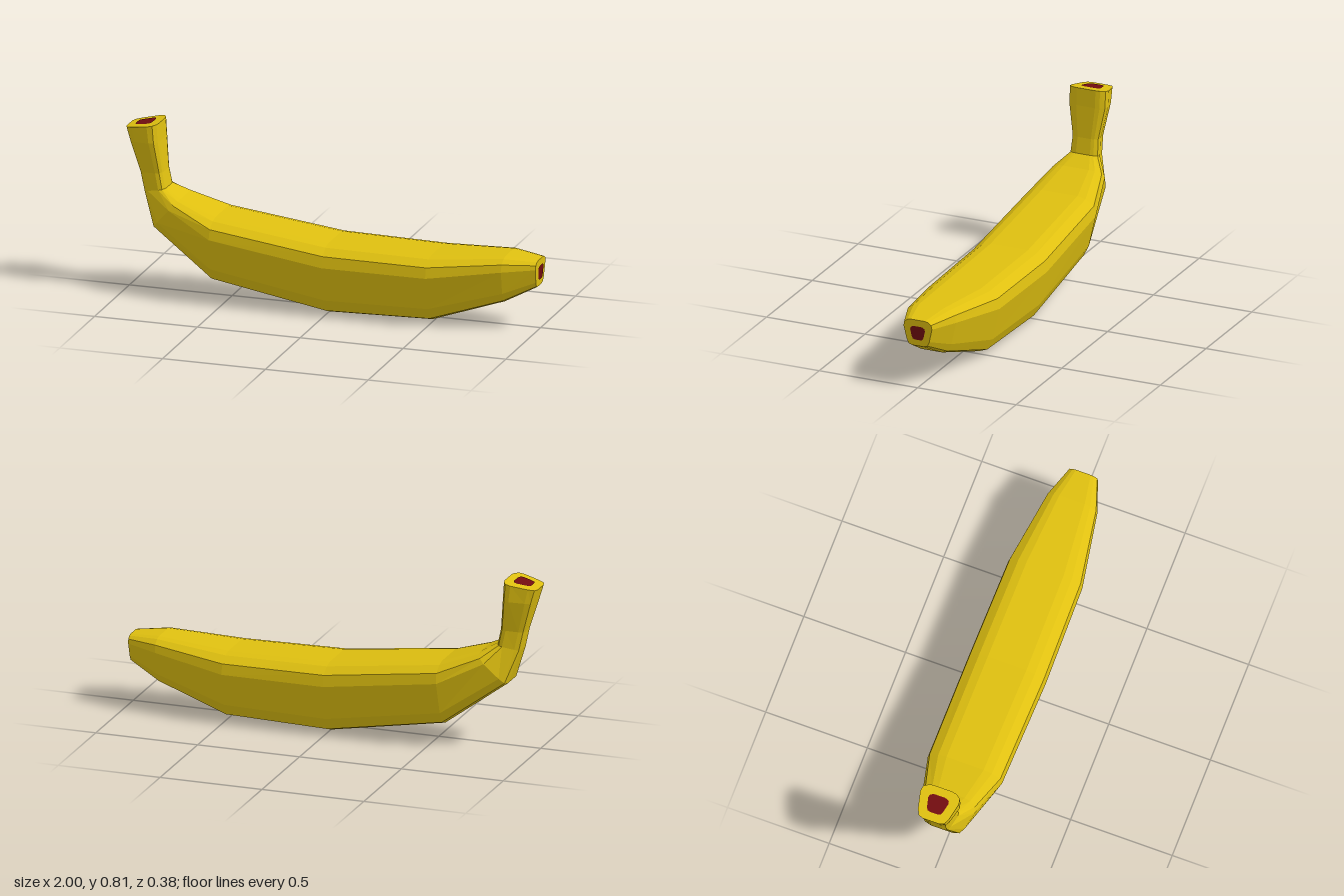
import * as THREE from 'three';

// Half cross-section, top to bottom: [share of half width, share of the way from top to bottom]
const PROFILE = [[0.5, 0], [0.72, 0.03], [0.95, 0.12], [1, 0.28], [0.8, 0.78], [0.66, 0.95], [0.42, 1]];

// Sections from stem end to tip: top x, top y, bottom x, bottom y, half width
const SECTIONS = [
  [-0.84, 0.815, -1.0, 0.785, 0.095],
  [-0.835, 0.73, -0.98, 0.72, 0.095],
  [-0.82, 0.58, -0.935, 0.57, 0.068],
  [-0.805, 0.505, -0.915, 0.48, 0.072],
  [-0.73, 0.465, -0.86, 0.32, 0.13],
  [-0.55, 0.405, -0.56, 0.10, 0.183],
  [0, 0.337, 0, 0.002, 0.19],
  [0.5, 0.33, 0.5, 0.015, 0.183],
  [0.85, 0.352, 0.845, 0.13, 0.125],
  [1.0, 0.337, 0.995, 0.208, 0.072],
];

function ring([tx, ty, bx, by, w]) {
  const side = (s) => PROFILE.map(([u, t]) =>
    new THREE.Vector3(tx + (bx - tx) * t, ty + (by - ty) * t, s * u * w));
  return [...side(1), ...side(-1).reverse()];
}

function centre([tx, ty, bx, by]) {
  return new THREE.Vector3((tx + bx) / 2, (ty + by) / 2, 0);
}

// Fan of triangles closing a ring
function fan(points, mid, flip) {
  const out = [];
  points.forEach((p, j) => {
    const q = points[(j + 1) % points.length];
    out.push(mid, ...(flip ? [q, p] : [p, q]));
  });
  return out;
}

function meshFrom(points, material, name) {
  const geometry = new THREE.BufferGeometry().setFromPoints(points);
  geometry.computeVertexNormals();
  const mesh = new THREE.Mesh(geometry, material);
  mesh.name = name;
  return mesh;
}

// Skin lofted through a run of sections
function loft(sections) {
  const rings = sections.map(ring);
  const out = [];
  for (let i = 0; i < rings.length - 1; i++) {
    const a = rings[i], b = rings[i + 1];
    a.forEach((p, j) => {
      const k = (j + 1) % a.length;
      out.push(p, a[k], b[j], a[k], b[k], b[j]);
    });
  }
  return out;
}

// Dark patch just outside an end face
function patch(section, normal, flip) {
  const mid = centre(section);
  const lift = normal.clone().multiplyScalar(0.003);
  const points = ring(section).map((p) => p.sub(mid).multiplyScalar(0.52).add(mid).add(lift));
  return fan(points, mid.clone().add(lift), flip);
}

export function createModel() {
  const peel = new THREE.MeshStandardMaterial({ color: 0xdfc010, flatShading: true });
  peel.name = 'yellow peel';
  const dark = new THREE.MeshStandardMaterial({ color: 0x720c10, flatShading: true });
  dark.name = 'dark red end';

  const first = SECTIONS[0], last = SECTIONS[SECTIONS.length - 1];
  const stem = [...loft(SECTIONS.slice(0, 4)), ...fan(ring(first), centre(first), true)];
  const body = [...loft(SECTIONS.slice(3)), ...fan(ring(last), centre(last), false)];

  const group = new THREE.Group();
  group.name = 'banana';
  group.add(
    meshFrom(stem, peel, 'stem'),
    meshFrom(body, peel, 'body'),
    meshFrom(patch(first, new THREE.Vector3(-0.18, 0.98, 0), true), dark, 'stemEnd'),
    meshFrom(patch(last, new THREE.Vector3(1, 0, 0), false), dark, 'tipEnd'),
  );
  return group;
}
